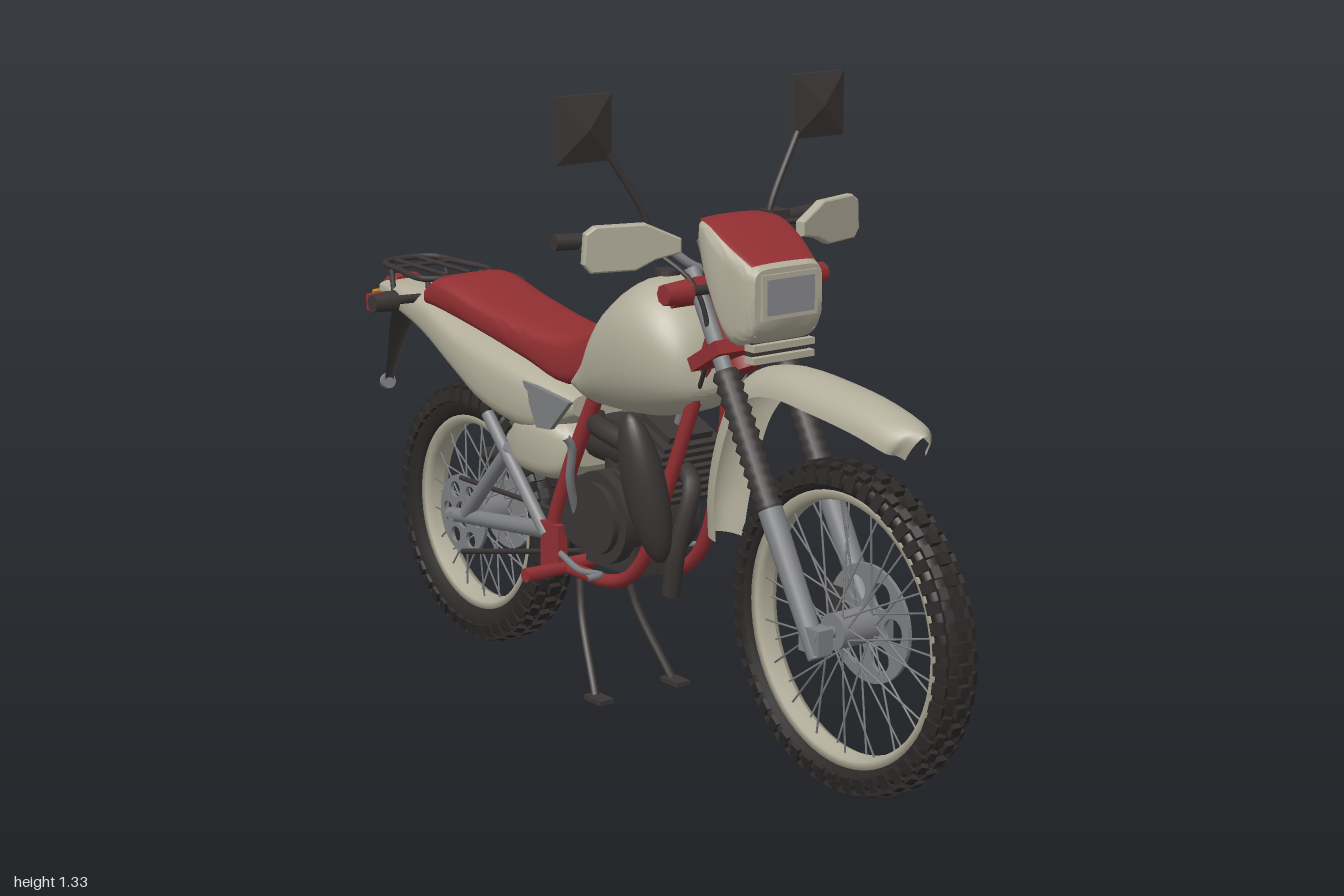
import * as THREE from 'three';
import { mergeGeometries, toCreasedNormals } from 'three/addons/utils/BufferGeometryUtils.js';

const V = (x, y, z) => new THREE.Vector3(x, y, z);
const paint = (name, color, side = THREE.FrontSide) => Object.assign(new THREE.MeshStandardMaterial({ color, side }), { name });

export function createModel() {
  const cream = paint('cream', 0xb2ad9a, THREE.DoubleSide), red = paint('red', 0x922f32, THREE.DoubleSide);
  const dark = paint('charcoal', 0x3b3635, THREE.DoubleSide), rubber = paint('rubber', 0x2c2928);
  const grey = paint('grey metal', 0x7e7f82), glass = paint('glass', 0x8b8b90), amber = paint('amber', 0xcb8f15);
  const model = new THREE.Group();
  model.name = 'motorcycle';

  const add = (name, geo, mat, pos = [0, 0, 0], rot = [0, 0, 0], parent = model) => {
    const m = new THREE.Mesh(geo, mat);
    m.name = name;
    m.position.set(...pos);
    m.rotation.set(...rot);
    parent.add(m);
    return m;
  };
  const box = (name, mat, size, pos, rot) => add(name, new THREE.BoxGeometry(...size), mat, pos, rot);
  const rodGeo = (a, b, r0, r1 = r0, n = 12) => {
    const p = V(...a), q = V(...b), d = q.clone().sub(p);
    const g = new THREE.CylinderGeometry(r1, r0, d.length(), n);
    g.applyQuaternion(new THREE.Quaternion().setFromUnitVectors(V(0, 1, 0), d.normalize()));
    const c = p.add(q).multiplyScalar(0.5);
    return g.translate(c.x, c.y, c.z);
  };
  const rod = (name, mat, a, b, r0, r1, n) => add(name, rodGeo(a, b, r0, r1, n), mat);
  const tube = (name, mat, pts, r, closed = false) => add(name, new THREE.TubeGeometry(
    new THREE.CatmullRomCurve3(pts.map(p => V(...p)), closed, 'centripetal'), pts.length * 6, r, 8, closed), mat);

  // Body shell from superellipse rings, rows of [z, bottom, top, halfWidth], front to back
  const loft = (name, mat, rows, p, n = 32) => {
    const pos = [], idx = [], pw = v => Math.sign(v) * Math.abs(v) ** (2 / p);
    const curve = k => new THREE.CatmullRomCurve3(rows.map(r => V(r[0], r[k], r[3])), false, 'centripetal');
    const lo = curve(1), hi = curve(2), m = (rows.length - 1) * 4;
    for (let i = 0; i <= m; i++) {
      const a = lo.getPoint(i / m), b = hi.getPoint(i / m);
      for (let j = 0; j < n; j++) {
        const t = j / n * Math.PI * 2;
        pos.push(b.z * pw(Math.cos(t)), (a.y + b.y) / 2 + (b.y - a.y) / 2 * pw(Math.sin(t)), (a.x + b.x) / 2);
      }
    }
    for (let i = 0; i < m; i++) for (let j = 0; j < n; j++) {
      const a = i * n + j, b = i * n + (j + 1) % n;
      idx.push(a, a + n, b, b, a + n, b + n);
    }
    for (let j = 1; j < n - 1; j++) idx.push(0, j, j + 1, m * n, m * n + j + 1, m * n + j);
    const g = new THREE.BufferGeometry();
    g.setAttribute('position', new THREE.Float32BufferAttribute(pos, 3));
    g.setIndex(idx);
    return add(name, toCreasedNormals(g, 0.75), mat);
  };

  // Arched sheet swept along rows of [z, y, halfWidth], front to back
  const sheet = (name, mat, rows, drop) => {
    const c = new THREE.CatmullRomCurve3(rows.map(r => V(r[2], r[1], r[0])), false, 'centripetal');
    const m = rows.length * 4, n = 12, pos = [], idx = [];
    for (let i = 0; i <= m; i++) {
      const p = c.getPoint(i / m), t = c.getTangent(i / m), l = Math.hypot(t.y, t.z);
      for (let j = 0; j <= n; j++) {
        const a = (j / n - 0.5) * Math.PI, d = drop * (1 - Math.cos(a));
        pos.push(p.x * Math.sin(a), p.y + d * t.z / l, p.z - d * t.y / l);
        if (i < m && j < n) {
          const k = i * (n + 1) + j;
          idx.push(k, k + 1, k + n + 1, k + 1, k + n + 2, k + n + 1);
        }
      }
    }
    const g = new THREE.BufferGeometry();
    g.setAttribute('position', new THREE.Float32BufferAttribute(pos, 3));
    g.setIndex(idx);
    g.computeVertexNormals();
    return add(name, g, mat);
  };
  // Brake disc with round holes, facing x
  const discGeo = (r, hub, holes, holeR, holeAt) => {
    const s = new THREE.Shape().absarc(0, 0, r, 0, Math.PI * 2);
    const hole = (x, y, q) => s.holes.push(new THREE.Path().absarc(x, y, q, 0, Math.PI * 2, true));
    hole(0, 0, hub);
    for (let i = 0; i < holes; i++) hole(holeAt * Math.cos(i / holes * 6.2832), holeAt * Math.sin(i / holes * 6.2832), holeR);
    return new THREE.ExtrudeGeometry(s, { depth: 0.008, bevelEnabled: false, curveSegments: 20 }).rotateY(Math.PI / 2);
  };

  // Wheels
  const wheel = (name, y, z, R, ri, w, blocks) => {
    const g = new THREE.Group();
    g.name = name;
    g.position.set(0, y, z);
    model.add(g);
    const lathe = pts => new THREE.LatheGeometry(pts.map(p => new THREE.Vector2(...p)), 64).rotateZ(Math.PI / 2);
    const mid = (ri + R) / 2;
    add('tyre', lathe([[ri, -w * 0.55], [ri + 0.012, -w * 0.8], [mid, -w * 0.95], [R - 0.022, -w * 0.8], [R - 0.012, -w * 0.4],
      [R - 0.012, w * 0.4], [R - 0.022, w * 0.8], [mid, w * 0.95], [ri + 0.012, w * 0.8], [ri, w * 0.55], [ri, -w * 0.55]]), rubber, undefined, undefined, g);
    const tread = [], spokes = [];
    for (let i = 0; i < blocks; i++) {
      const a = i / blocks * Math.PI * 2, len = R / blocks * 3.4;
      const lug = (x, r, sx, sy, tilt, off) => tread.push(new THREE.BoxGeometry(sx, sy, len).rotateZ(tilt)
        .translate(x, r, 0).rotateX(a + off));
      lug(0, R - 0.009, w * 0.55, 0.018, 0, 0);
      for (const s of [1, -1]) {
        lug(s * w * 0.55, R - 0.014, w * 0.4, 0.018, -s * 0.35, Math.PI / blocks);
        lug(s * w * 0.88, R - 0.03, w * 0.22, 0.03, s * 0.25, 0);
      }
    }
    add('tread', mergeGeometries(tread), rubber, undefined, undefined, g);
    add('rim', lathe([[ri - 0.018, -w * 0.3], [ri - 0.012, -w * 0.6], [ri + 0.006, -w * 0.62], [ri + 0.006, w * 0.62],
      [ri - 0.012, w * 0.6], [ri - 0.018, w * 0.3], [ri - 0.018, -w * 0.3]]), cream, undefined, undefined, g);
    for (let i = 0; i < 36; i++) {
      const a = i / 36 * Math.PI * 2, b = a + (i % 4 < 2 ? 0.5 : -0.5), s = i % 2 ? 1 : -1;
      spokes.push(rodGeo([s * 0.034, 0.035 * Math.cos(b), 0.035 * Math.sin(b)],
        [s * 0.008, (ri - 0.014) * Math.cos(a), (ri - 0.014) * Math.sin(a)], 0.0022, 0.0022, 5));
    }
    add('spokes', mergeGeometries(spokes), grey, undefined, undefined, g);
    add('hub', rodGeo([-0.045, 0, 0], [0.045, 0, 0], 0.036, 0.036, 24), grey, undefined, undefined, g);
    add('axle', rodGeo([-0.095, 0, 0], [0.095, 0, 0], 0.012), grey, undefined, undefined, g);
    return g;
  };
  const front = wheel('frontWheel', 0.347, 0.672, 0.328, 0.268, 0.042, 48);
  add('frontDisc', discGeo(0.118, 0.036, 6, 0.026, 0.072), grey, [0.044, 0, 0], [0, 0, 0], front);
  const rear = wheel('rearWheel', 0.303, -0.58, 0.295, 0.216, 0.05, 44);
  add('rearDisc', discGeo(0.096, 0.02, 8, 0.01, 0.07), grey, [0.055, 0, 0], [0, 0, 0], rear);
  add('sprocket', discGeo(0.09, 0.03, 6, 0.018, 0.06), grey, [-0.063, 0, 0], [0, 0, 0], rear);
  box('frontCaliper', dark, [0.035, 0.08, 0.045], [0.06, 0.36, 0.575]);
  box('caliperPad', amber, [0.015, 0.05, 0.03], [0.075, 0.355, 0.57]);
  box('rearCaliper', grey, [0.03, 0.06, 0.05], [0.07, 0.33, -0.5]);

  // Front fork, clamps and steering head
  const fz = y => 0.457 - 0.58 * (y - 0.666);
  const ribs = Array.from({ length: 25 }, (_, i) => new THREE.Vector2(i % 2 ? 0.029 : 0.022, (i / 24 - 0.5) * 0.29));
  for (const s of [1, -1]) {
    const at = y => [s * 0.076, y, fz(y)];
    rod('forkSlider', grey, at(0.3), at(0.57), 0.021, 0.025, 16);
    rod('forkTube', grey, at(0.55), at(0.99), 0.017);
    add('forkGaiter', new THREE.LatheGeometry(ribs, 16), dark, at(0.68), [-0.525, 0, 0]);
    box('axleLug', grey, [0.035, 0.05, 0.06], [s * 0.076, 0.335, 0.66]);
  }
  for (const y of [0.83, 0.945]) box('forkClamp', red, [0.2, 0.028, 0.1], [0, y, fz(y) - 0.025], [-0.525, 0, 0]);
  rod('steeringHead', red, [0, 0.79, 0.345], [0, 0.96, 0.245], 0.032);

  // Mudguard and headlamp cowl
  sheet('frontMudguard', cream, [[0.875, 0.763, 0.025], [0.85, 0.778, 0.052], [0.76, 0.803, 0.064], [0.62, 0.822, 0.068], [0.49, 0.827, 0.062],
    [0.39, 0.8, 0.056], [0.32, 0.73, 0.052], [0.275, 0.63, 0.05], [0.25, 0.53, 0.045], [0.243, 0.44, 0.035]], 0.055);
  loft('headlampCowl', cream, [[0.475, 0.9, 1.018, 0.083], [0.455, 0.872, 1.028, 0.09], [0.4, 0.86, 1.058, 0.095],
    [0.34, 0.96, 1.088, 0.097], [0.3, 1.03, 1.093, 0.083]], 6);
  sheet('cowlTop', red, [[0.462, 1.026, 0.078], [0.4, 1.062, 0.09], [0.34, 1.092, 0.088], [0.295, 1.097, 0.076]], 0.006);
  box('headlampBezel', cream, [0.136, 0.088, 0.008], [0, 0.963, 0.476]);
  box('headlamp', glass, [0.115, 0.07, 0.008], [0, 0.963, 0.48]);
  for (const y of [0.893, 0.862, 0.838]) box('cowlSlat', cream, [0.15, 0.013, 0.03], [0, y, 0.45]);
  box('cowlVent', dark, [0.14, 0.06, 0.02], [0, 0.865, 0.44]);

  // Handlebar, instruments, guards, mirrors and indicators
  tube('handlebar', grey, [[-0.34, 1.06, 0.195], [-0.2, 1.055, 0.215], [-0.13, 1.04, 0.24], [-0.06, 0.99, 0.275],
    [0.06, 0.99, 0.275], [0.13, 1.04, 0.24], [0.2, 1.055, 0.215], [0.34, 1.06, 0.195]], 0.009);
  box('dash', dark, [0.13, 0.03, 0.06], [0, 1.02, 0.31], [-0.4, 0, 0]);
  for (const s of [1, -1]) {
    rod('instrument', grey, [s * 0.035, 1.0, 0.3], [s * 0.035, 1.05, 0.275], 0.028, 0.028, 20);
    rod('grip', dark, [s * 0.2, 1.055, 0.215], [s * 0.35, 1.06, 0.193], 0.016);
    box('switchBlock', dark, [0.045, 0.045, 0.045], [s * 0.165, 1.055, 0.225]);
    rod('lever', dark, [s * 0.16, 1.055, 0.255], [s * 0.32, 1.05, 0.24], 0.006);
    const pts = [[0, 1.065], [0.07, 1.097], [0.17, 1.097], [0.188, 1.085], [0.192, 1.03], [0.178, 1.014], [0.09, 1.014], [0.05, 1.032], [0, 1.042]];
    add('handGuard', new THREE.ExtrudeGeometry(new THREE.Shape(pts.map(p => new THREE.Vector2(s * p[0], p[1]))),
      { depth: 0.01, bevelSize: 0.004, bevelThickness: 0.006, bevelSegments: 2 }), cream, [s * 0.15, 0, 0.32], [0, s * 0.28, 0]);
    tube('mirrorStem', dark, [[s * 0.145, 1.05, 0.225], [s * 0.16, 1.1, 0.225], [s * 0.235, 1.225, 0.21]], 0.007);
    box('mirrorShell', dark, [0.13, 0.13, 0.012], [s * 0.29, 1.275, 0.204]);
    add('mirrorBack', new THREE.ConeGeometry(0.0919, 0.02, 4).toNonIndexed().rotateY(Math.PI / 4).rotateX(Math.PI / 2),
      dark, [s * 0.29, 1.275, 0.22]).geometry.computeVertexNormals();
    box('mirrorGlass', glass, [0.116, 0.116, 0.004], [s * 0.29, 1.275, 0.197]);
    rod('frontIndicatorStem', dark, [s * 0.08, 0.96, 0.33], [s * 0.145, 0.963, 0.34], 0.01);
    rod('frontIndicator', red, [s * 0.14, 0.963, 0.34], [s * 0.198, 0.963, 0.34], 0.026, 0.021, 8);
    rod('rearIndicatorStem', dark, [s * 0.07, 0.77, -0.73], [s * 0.145, 0.773, -0.73], 0.01);
    rod('rearIndicator', dark, [s * 0.14, 0.773, -0.725], [s * 0.198, 0.773, -0.725], 0.024, 0.02, 8);
    box('rearIndicatorLens', red, [0.056, 0.036, 0.02], [s * 0.169, 0.773, -0.742]);
    tube('cable', dark, [[s * 0.16, 1.04, 0.24], [s * 0.11, 0.97, 0.32], [s * 0.08, 0.86, 0.33], [s * 0.04, 0.72, 0.24]], 0.005);
  }

  // Tank, seat, side panels and tail
  loft('tank', cream, [[0.268, 0.73, 0.765, 0.04], [0.24, 0.7, 0.855, 0.09], [0.185, 0.675, 0.915, 0.122], [0.1, 0.655, 0.945, 0.137],
    [0.0, 0.648, 0.885, 0.13], [-0.07, 0.65, 0.775, 0.108], [-0.15, 0.67, 0.7, 0.07]], 2.4);
  rod('fuelCap', dark, [0, 0.93, 0.09], [0, 0.953, 0.09], 0.028, 0.026, 20);
  loft('seat', red, [[0.004, 0.85, 0.88, 0.03], [-0.04, 0.78, 0.853, 0.052], [-0.1, 0.7, 0.81, 0.066], [-0.18, 0.67, 0.782, 0.08],
    [-0.3, 0.7, 0.784, 0.09], [-0.45, 0.732, 0.805, 0.097], [-0.63, 0.76, 0.836, 0.102], [-0.668, 0.765, 0.81, 0.1]], 4);
  loft('sidePanels', cream, [[-0.13, 0.61, 0.66, 0.08], [-0.25, 0.555, 0.695, 0.112], [-0.42, 0.575, 0.728, 0.124], [-0.54, 0.625, 0.745, 0.115],
    [-0.7, 0.69, 0.782, 0.096], [-0.85, 0.728, 0.787, 0.078], [-0.92, 0.745, 0.778, 0.06]], 3.5);
  loft('airbox', cream, [[-0.14, 0.5, 0.57, 0.07], [-0.19, 0.465, 0.6, 0.1], [-0.3, 0.46, 0.6, 0.105], [-0.38, 0.47, 0.54, 0.08]], 4);
  for (const s of [1, -1]) {
    const tri = new THREE.Shape([[0.1, 0.655], [0.27, 0.672], [0.22, 0.58], [0.17, 0.585]].map(p => new THREE.Vector2(...p)));
    add('framePlate', new THREE.ExtrudeGeometry(tri, { depth: 0.012, bevelEnabled: false }).rotateY(Math.PI / 2), grey, [s * 0.105 - 0.006, 0, 0]);
  }
  loft('tailLamp', red, [[-0.885, 0.755, 0.79, 0.035], [-0.92, 0.735, 0.79, 0.04], [-0.958, 0.742, 0.765, 0.032]], 5);
  box('rearReflector', amber, [0.14, 0.04, 0.009], [0, 0.737, -0.935], [0.35, 0, 0]);
  sheet('mudFlap', dark, [[-0.89, 0.75, 0.04], [-0.925, 0.68, 0.032], [-0.96, 0.6, 0.018], [-0.99, 0.515, 0.01]], 0.004);
  rod('flapReflector', grey, [0, 0.525, -0.982], [0, 0.522, -0.994], 0.018, 0.018, 16);

  // Luggage rack
  tube('rackLoop', dark, [[0.085, 0.822, -0.68], [0.08, 0.824, -0.8], [0.06, 0.826, -0.89], [-0.06, 0.826, -0.89], [-0.08, 0.824, -0.8], [-0.085, 0.822, -0.68]], 0.007, true);
  for (const x of [-0.03, 0.03]) rod('rackBar', dark, [x, 0.824, -0.68], [x, 0.826, -0.89], 0.005);
  rod('rackCrossbar', dark, [-0.08, 0.823, -0.83], [0.08, 0.823, -0.83], 0.005);
  for (const s of [1, -1]) for (const z of [-0.7, -0.85]) rod('rackPost', dark, [s * 0.07, 0.824, z], [s * 0.075, 0.75, z + 0.02], 0.006);

  // Frame, swingarm, pegs and stands
  for (const s of [1, -1]) {
    tube('downTube', red, [[s * 0.02, 0.88, 0.28], [s * 0.045, 0.7, 0.232], [s * 0.07, 0.5, 0.17], [s * 0.075, 0.35, 0.1],
      [s * 0.075, 0.295, 0.02], [s * 0.08, 0.285, -0.17]], 0.015);
    tube('rearFrameTube', red, [[s * 0.08, 0.67, -0.05], [s * 0.09, 0.5, -0.13], [s * 0.09, 0.36, -0.185], [s * 0.085, 0.285, -0.17]], 0.017);
    box('pivotPlate', red, [0.025, 0.1, 0.065], [s * 0.095, 0.33, -0.18]);
    rod('footPeg', red, [s * 0.08, 0.287, -0.15], [s * 0.19, 0.287, -0.15], 0.014, 0.016, 8);
    rod('swingarm', grey, [s * 0.08, 0.355, -0.19], [s * 0.08, 0.303, -0.6], 0.02, 0.016);
    rod('subframeStrut', grey, [s * 0.1, 0.35, -0.2], [s * 0.1, 0.57, -0.42], 0.014);
    rod('rearStay', grey, [s * 0.095, 0.51, -0.34], [s * 0.085, 0.32, -0.53], 0.016);
    tube('standLeg', dark, [[s * 0.06, 0.28, -0.135], [s * 0.07, 0.19, -0.115], [s * 0.1, 0.04, -0.025]], 0.009);
    box('standFoot', dark, [0.035, 0.01, 0.06], [s * 0.1, 0.036, -0.012]);
  }
  rod('frameCrossTube', red, [-0.1, 0.285, -0.17], [0.1, 0.285, -0.17], 0.016);
  rod('chainGuard', dark, [0.082, 0.47, -0.36], [0.082, 0.395, -0.7], 0.026, 0.016);
  for (const dy of [0.085, -0.085]) rod('chain', dark, [-0.066, 0.36 + dy * 0.4, -0.12], [-0.066, 0.303 + dy, -0.58], 0.006, 0.006, 6);

  // Engine, cylinder fins and carburettor
  rod('crankcase', dark, [-0.095, 0.425, -0.02], [0.095, 0.425, -0.02], 0.098, 0.098, 32);
  rod('crankCover', dark, [-0.11, 0.425, -0.02], [0.11, 0.425, -0.02], 0.075, 0.075, 32);
  rod('gearbox', dark, [-0.09, 0.42, -0.1], [0.09, 0.42, -0.1], 0.075, 0.075, 24);
  box('sump', dark, [0.13, 0.1, 0.17], [0, 0.36, -0.02]);
  for (let i = 0; i < 8; i++) box('coolingFin', dark, [0.15, 0.01, 0.13], [0, 0.5 + i * 0.018, 0.07 + i * 0.007], [0.37, 0, 0]);
  box('cylinder', dark, [0.11, 0.17, 0.1], [0, 0.565, 0.095], [0.37, 0, 0]);
  rod('sparkPlug', grey, [0, 0.62, 0.12], [0, 0.67, 0.14], 0.01);
  rod('carburettor', dark, [0, 0.56, 0.04], [0, 0.56, -0.16], 0.05, 0.045, 16);
  rod('carburettorBowl', dark, [0, 0.48, -0.06], [0, 0.62, -0.06], 0.04, 0.04, 16);

  // Exhaust
  tube('exhaustHeader', dark, [[0, 0.56, 0.13], [-0.02, 0.53, 0.2], [-0.05, 0.4, 0.19], [-0.05, 0.3, 0.17]], 0.02);
  const chamber = add('expansionChamber', new THREE.SphereGeometry(1, 24, 16), dark, [-0.108, 0.53, 0.16], [-0.12, 0, 0.17]);
  chamber.scale.set(0.042, 0.16, 0.05);
  tube('exhaustPipe', dark, [[-0.1, 0.6, 0.14], [-0.1, 0.62, 0.0], [0, 0.6, -0.16], [0.09, 0.6, -0.35], [0.112, 0.62, -0.52]], 0.022);
  rod('muffler', dark, [0.112, 0.622, -0.52], [0.112, 0.668, -0.76], 0.029, 0.034, 20);
  rod('tailPipe', grey, [0.112, 0.668, -0.755], [0.112, 0.67, -0.772], 0.018, 0.018, 16);

  // Pedals
  tube('kickStarter', grey, [[-0.1, 0.42, -0.09], [-0.13, 0.5, -0.07], [-0.14, 0.58, -0.05], [-0.155, 0.6, -0.05]], 0.009);
  tube('brakePedal', grey, [[-0.1, 0.32, -0.15], [-0.12, 0.31, -0.05], [-0.125, 0.32, 0.03], [-0.165, 0.32, 0.035]], 0.007);
  tube('gearLever', grey, [[0.1, 0.36, -0.08], [0.115, 0.34, 0.0], [0.15, 0.335, 0.01]], 0.006);
  return model;
}
